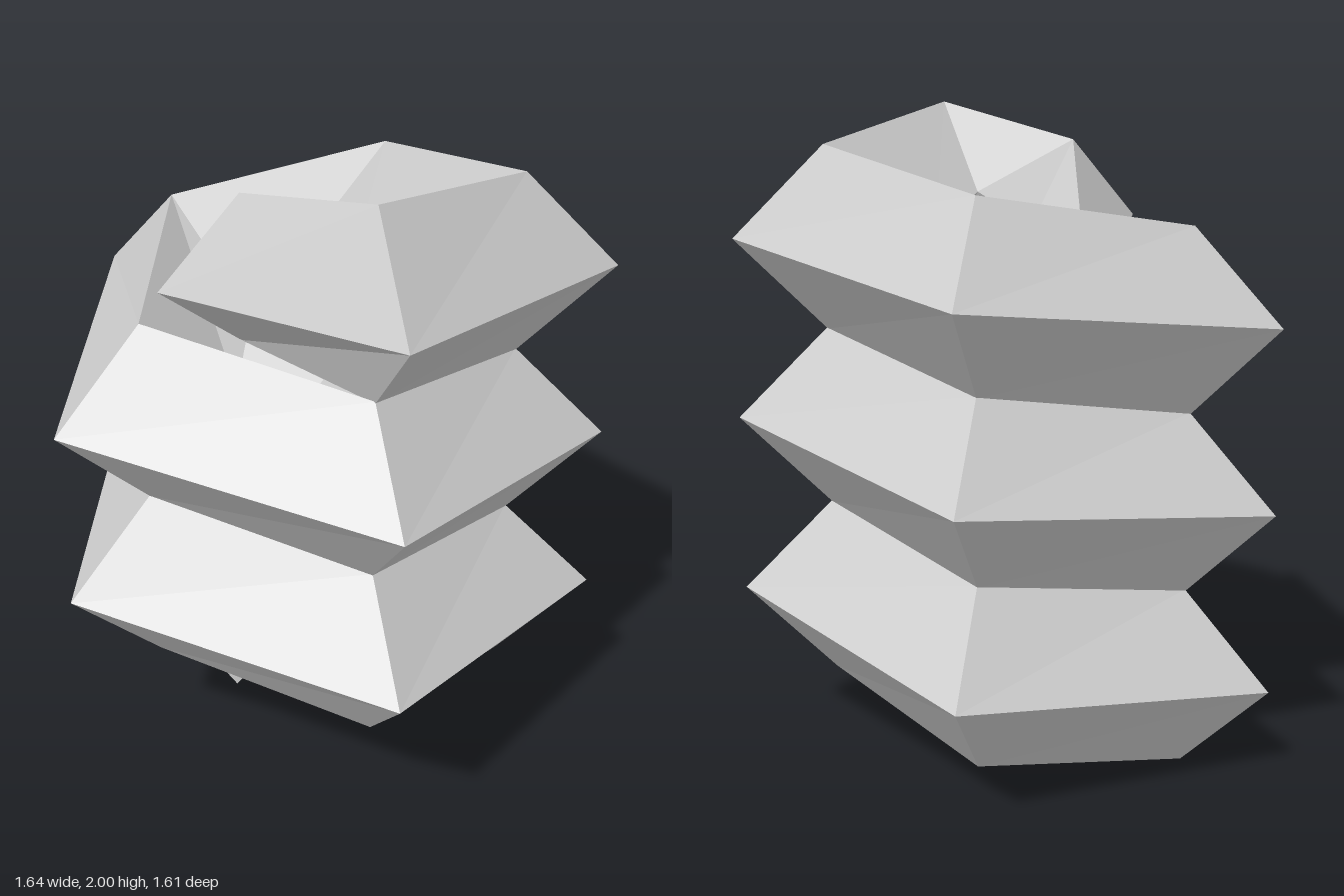
import * as THREE from 'three';

// Low-poly coil spring: a diamond section climbing around five corners per turn.
export function createModel() {
  const group = new THREE.Group();
  const cx = -0.027, cz = 0.055, R = 0.588, r = 0.28, rise = 0.1108;
  const start = THREE.MathUtils.degToRad(-156.6), step = Math.PI * 2 / 5;
  // inner corners (x, z), repeated every turn
  const inner = [[-0.25, 0.02], [0, -0.25], [0.22, 0], [0.13, 0.32], [-0.21, 0.29]];

  // each ring holds: outer, top, inner, bottom
  const rings = [[[-0.5, 0.365, 0.21], [-0.25, 0.66, 0.18], [-0.03, 0.42, 0.19], [-0.28, 0.09, 0.19]]];
  for (let k = 0; k < 14; k++) {
    const a = start + k * step, y = r + k * rise;
    const at = (radius, h) => [cx + radius * Math.cos(a), h, cz + radius * Math.sin(a)];
    const [ix, iz] = inner[k % 5];
    rings.push([at(R + r, y), at(R, y + r), [ix, y, iz], at(R, y - r)]);
  }
  rings.push([[-0.37, 1.64, 0.46], [-0.18, 1.89, 0.30], [-0.05, 1.62, 0.27], [-0.25, 1.35, 0.12]]);

  const positions = [];
  const tri = (...corners) => corners.forEach((p) => positions.push(...p));

  // skin between neighbouring rings
  for (let k = 0; k < rings.length - 1; k++) {
    for (let j = 0; j < 4; j++) {
      const n = (j + 1) % 4;
      const a = rings[k][j], b = rings[k + 1][j], c = rings[k + 1][n], d = rings[k][n];
      tri(a, d, b);
      tri(d, c, b);
    }
  }

  // end caps, the coil tips curl inwards
  const s = rings[0], e = rings[rings.length - 1];
  tri(s[0], s[3], s[2]);
  tri(s[0], s[2], s[1]);
  tri(e[0], e[1], e[3]);
  tri(e[1], e[2], e[3]);

  const geometry = new THREE.BufferGeometry();
  geometry.setAttribute('position', new THREE.Float32BufferAttribute(positions, 3));
  geometry.computeVertexNormals();
  const coil = new THREE.Mesh(geometry, new THREE.MeshStandardMaterial({ color: 0xcccccc, flatShading: true }));
  coil.name = 'coil';
  group.add(coil);
  return group;
}
